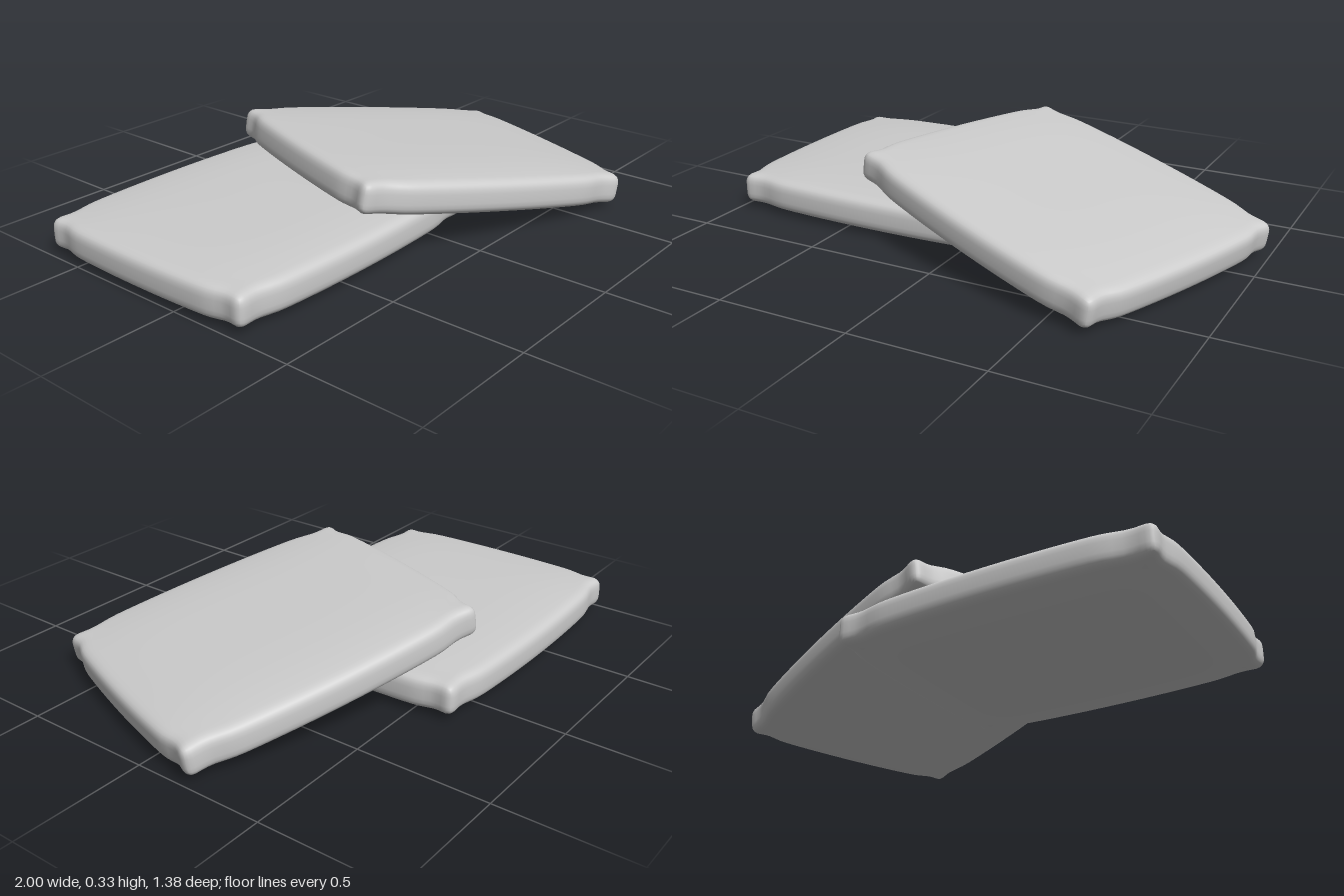
import * as THREE from 'three';
import { mergeVertices } from 'three/addons/utils/BufferGeometryUtils.js';

const HALF = new THREE.Vector3(0.588, 0.058, 0.478); // half size at the corners
const ROUND = 0.035;

// Outward swell of a side seam: full in the middle, pinched just before each corner
function swell(s, amount) {
  const pinch = Math.exp(-(((Math.abs(s) - 0.84) / 0.1) ** 2));
  return amount * (1 - s * s) - 0.013 * pinch;
}

// A box with rounded edges, pillow-like faces and eared corners
function cushionGeometry() {
  let geo = new THREE.BoxGeometry(2, 2, 2, 36, 10, 36);
  geo.deleteAttribute('uv');
  geo.deleteAttribute('normal');
  geo = mergeVertices(geo);
  const pos = geo.attributes.position;
  const core = HALF.clone().subScalar(ROUND);
  const p = new THREE.Vector3();
  const inner = new THREE.Vector3();
  for (let i = 0; i < pos.count; i++) {
    p.fromBufferAttribute(pos, i);
    // crowd the grid towards the edges, then round them off
    p.set(...p.toArray().map((t) => Math.sin((t * Math.PI) / 2))).multiply(HALF);
    inner.copy(p).clamp(core.clone().negate(), core);
    p.sub(inner).setLength(ROUND).add(inner);
    // puff the faces and swell the sides
    const s = p.x / HALF.x;
    const t = p.z / HALF.z;
    const v = p.y / HALF.y;
    p.y += v * 0.021 * (1 - s ** 4) * (1 - t ** 4);
    p.x += s * swell(t, 0.02);
    p.z += t * swell(s, 0.03);
    pos.setXYZ(i, p.x, p.y, p.z);
  }
  geo.computeVertexNormals();
  return geo;
}

export function createModel() {
  const group = new THREE.Group();
  group.name = 'cushions';
  const geometry = cushionGeometry();
  const material = new THREE.MeshStandardMaterial({ color: 0xcccccc });

  // Cushion lying flat
  const lower = new THREE.Mesh(geometry, material);
  lower.name = 'lowerCushion';
  lower.position.set(-0.4, 0.079, -0.185);

  // Cushion turned and leaning on the first one
  const upper = new THREE.Mesh(geometry, material);
  upper.name = 'upperCushion';
  upper.position.set(0.293, 0.172, 0.047);
  upper.rotation.set(0, -0.347, -0.173);

  group.add(lower, upper);
  return group;
}
